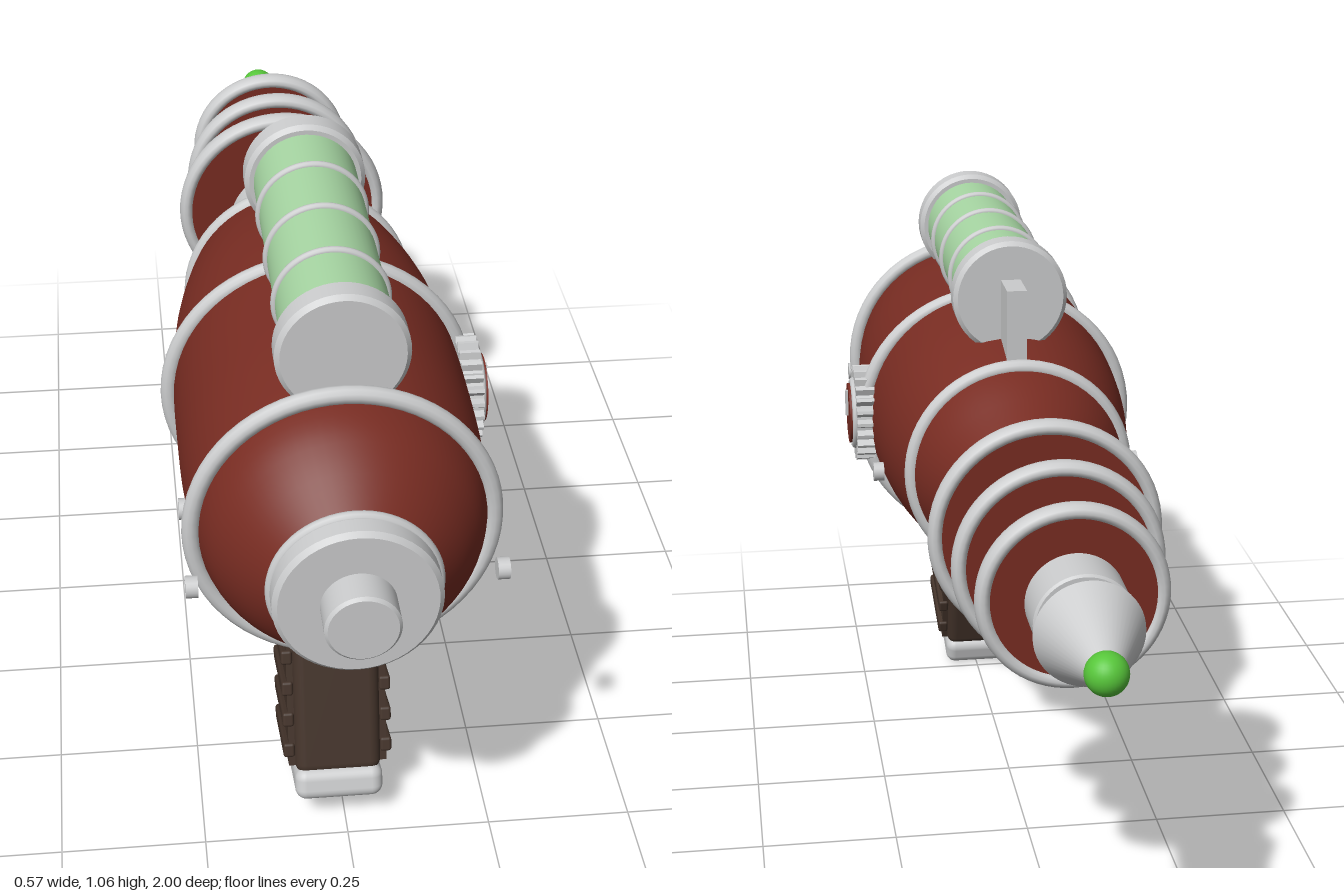
import * as THREE from 'three';
import { RoundedBoxGeometry } from 'three/addons/geometries/RoundedBoxGeometry.js';

const paint = (name, color) => {
  const m = new THREE.MeshStandardMaterial({ color });
  m.name = name;
  return m;
};

export function createModel() {
  const red = paint('red enamel', 0x782c22);
  const metal = paint('pale metal', 0xcbcccd);
  const glass = paint('green glass', 0xa6d5a2);
  const glow = paint('bright green', 0x57c63a);
  const brown = paint('brown grip', 0x43332a);

  const model = new THREE.Group();
  model.name = 'rayGun';
  // everything along the barrel is placed relative to its axis
  const axis = new THREE.Group();
  axis.name = 'axis';
  axis.position.set(-0.0115, 0.657, 0);
  model.add(axis);

  const add = (name, geo, mat, x = 0, y = 0, z = 0, parent = axis) => {
    const m = new THREE.Mesh(geo, mat);
    m.name = name;
    m.position.set(x, y, z);
    parent.add(m);
    return m;
  };
  // cylinder along z from z0 (back-facing low end) to z1
  const rod = (name, mat, z0, z1, r0, r1 = r0, y = 0) =>
    add(name, new THREE.CylinderGeometry(r1, r0, z1 - z0, 48).rotateX(Math.PI / 2), mat, 0, y, (z0 + z1) / 2);
  // disc along z with small bevelled edges
  const cap = (name, mat, z0, z1, r, y = 0, b = 0.008) => {
    const pts = [[0, z0], [r - b, z0], [r - b, z0], [r, z0 + b], [r, z0 + b], [r, z1 - b], [r, z1 - b], [r - b, z1], [r - b, z1], [0, z1]]
      .map(([a, h]) => new THREE.Vector2(a, h));
    return add(name, new THREE.LatheGeometry(pts, 48).rotateX(Math.PI / 2), mat, 0, y, 0);
  };
  const ring = (name, mat, z, r, tube, y = 0) =>
    add(name, new THREE.TorusGeometry(r, tube, 12, 64), mat, 0, y, z);

  // bulbous body turned from a smooth profile
  const profile = new THREE.SplineCurve([
    [0.103, -0.27], [0.15, -0.165], [0.2, -0.05], [0.238, 0.12], [0.252, 0.3], [0.254, 0.45],
    [0.25, 0.6], [0.232, 0.74], [0.192, 0.82], [0.13, 0.89],
  ].map(([r, z]) => new THREE.Vector2(r, z))).getPoints(48);
  add('body', new THREE.LatheGeometry(profile, 64).rotateX(Math.PI / 2), red);

  // hoops around the body
  ring('rearHoop', metal, 0.725, 0.246, 0.015);
  ring('middleHoop', metal, 0.305, 0.25, 0.015).scale.x = 1.04;
  ring('frontHoop', metal, -0.045, 0.2, 0.015);

  // rear plug
  ring('plugRim', metal, 0.89, 0.131, 0.01);
  cap('plug', metal, 0.885, 0.938, 0.134);
  cap('plugKnob', metal, 0.93, 1, 0.06, 0, 0.005);

  // barrel
  cap('collar', metal, -0.325, -0.26, 0.108, 0, 0.006);
  rod('barrelNeck', metal, -0.83, -0.3, 0.051);
  [[-0.498, -0.398], [-0.643, -0.535], [-0.777, -0.68]].forEach(([a, b]) =>
    cap('barrelSleeve', metal, a, b, 0.083, 0, 0.004));
  // cooling fins: red discs in metal rims
  [[-0.373, 0.207], [-0.518, 0.183], [-0.662, 0.162]].forEach(([z, r]) => {
    rod('finDisc', red, z - 0.013, z + 0.013, r - 0.012);
    ring('finRim', metal, z, r - 0.014, 0.014).scale.z = 1.45;
  });
  rod('nozzle', metal, -0.955, -0.817, 0.03, 0.09);
  add('tip', new THREE.SphereGeometry(0.035, 32, 20), glow, 0, 0, -0.965);

  // canister on top
  const cy = 0.304;
  rod('canisterGlass', glass, 0.1, 0.66, 0.092, 0.092, cy);
  cap('canisterRearCap', metal, 0.655, 0.708, 0.108, cy);
  cap('canisterFrontCap', metal, 0.057, 0.112, 0.108, cy);
  [0.23, 0.383, 0.533].forEach((z) => ring('canisterBand', metal, z, 0.092, 0.007, cy));
  add('canisterBracket', new THREE.BoxGeometry(0.037, 0.17, 0.09), metal, 0, 0.255, 0.02);

  // side dial with a toothed rim
  const dial = new THREE.Group();
  dial.name = 'dial';
  dial.position.set(0.24, 0, 0.342);
  axis.add(dial);
  const gear = new THREE.Shape();
  const teeth = 24;
  for (let i = 0; i < teeth * 4; i++) {
    const a = (i / (teeth * 4)) * Math.PI * 2;
    const r = i % 4 < 2 ? 0.096 : 0.084;
    gear[i ? 'lineTo' : 'moveTo'](Math.cos(a) * r, Math.sin(a) * r);
  }
  const gearGeo = new THREE.ExtrudeGeometry(gear, { depth: 0.037, bevelEnabled: false }).rotateY(Math.PI / 2);
  add('dialGear', gearGeo, metal, 0.003, 0, 0, dial);
  add('dialLip', new THREE.TorusGeometry(0.064, 0.008, 10, 48).rotateY(Math.PI / 2), metal, 0.04, 0, 0, dial);
  add('dialFace', new THREE.CylinderGeometry(0.06, 0.06, 0.05, 48).rotateZ(Math.PI / 2), red, 0.027, 0, 0, dial);
  add('dialPointer', new THREE.BoxGeometry(0.009, 0.052, 0.011), metal, 0.053, 0.022, 0, dial);

  // studs on both sides
  for (const s of [-1, 1])
    for (const z of [0.8, 0.587, 0.126])
      add('stud', new THREE.CylinderGeometry(0.018, 0.018, 0.02, 20).rotateZ(Math.PI / 2), metal, s * 0.25, -0.052, z);

  // trigger guard and trigger
  add('triggerGuard', new THREE.TorusGeometry(0.128, 0.014, 12, 64).rotateY(Math.PI / 2), metal, 0, -0.212, 0.265);
  const pull = new THREE.CatmullRomCurve3([[-0.2, 0.34], [-0.255, 0.325], [-0.29, 0.3], [-0.318, 0.265]]
    .map(([y, z]) => new THREE.Vector3(0, y, z)));
  add('trigger', new THREE.TubeGeometry(pull, 20, 0.011, 10), metal);

  // raked grip with ribbed sides
  const grip = new THREE.Group();
  grip.name = 'grip';
  grip.position.set(-0.0115, 0.032, 0.625);
  grip.rotation.x = -0.285;
  model.add(grip);
  add('gripCap', new RoundedBoxGeometry(0.154, 0.058, 0.218, 4, 0.02), metal, 0, 0.029, 0, grip);
  add('gripCore', new RoundedBoxGeometry(0.15, 0.41, 0.2, 4, 0.02), brown, 0, 0.25, 0, grip);
  for (const s of [-1, 1]) {
    add('gripPanel', new THREE.BoxGeometry(0.02, 0.35, 0.165), brown, s * 0.076, 0.235, 0, grip);
    for (let i = 0; i < 6; i++)
      add('gripRib', new RoundedBoxGeometry(0.02, 0.026, 0.175, 2, 0.005), brown, s * 0.085, 0.09 + i * 0.058, 0, grip);
  }
  return model;
}
